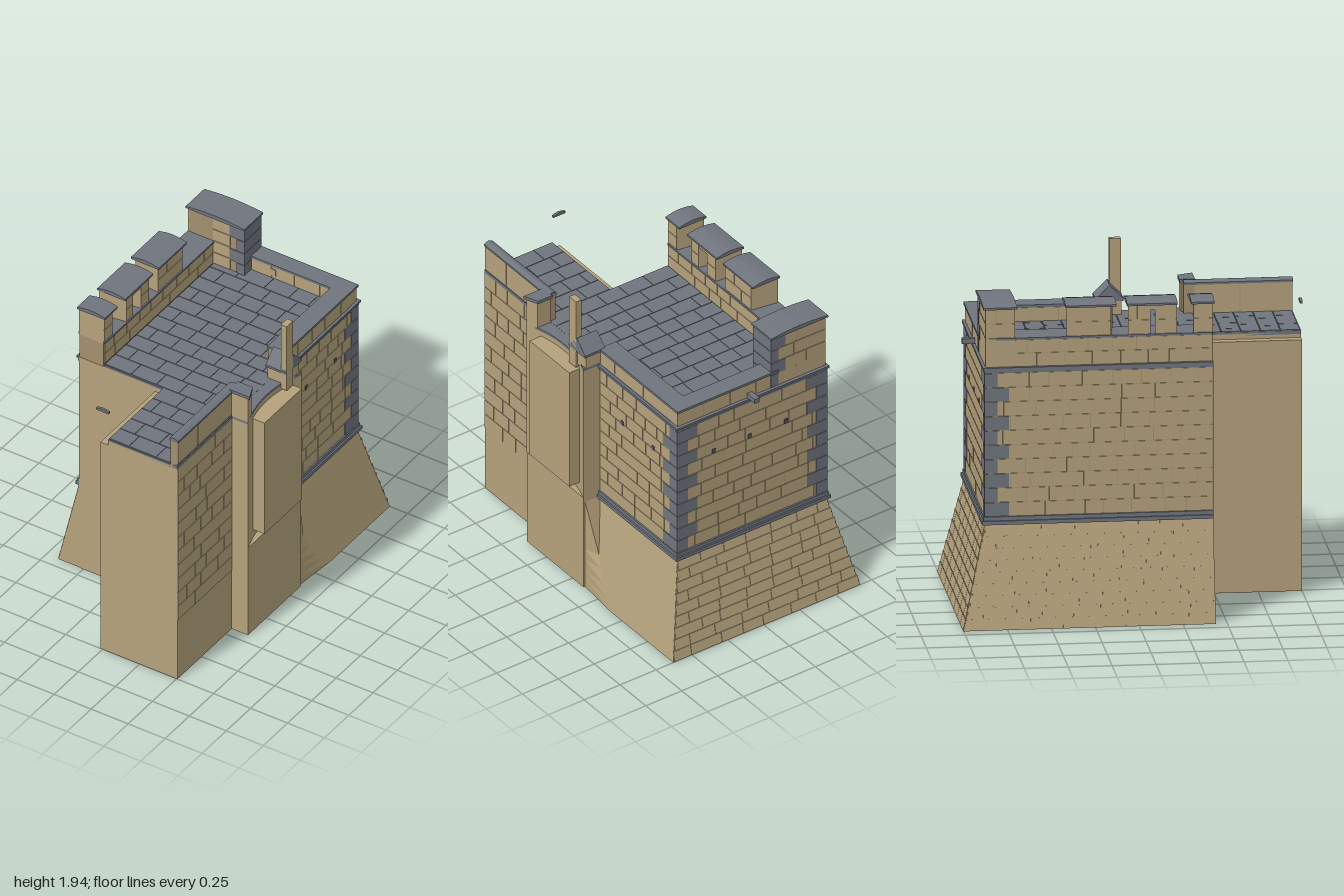
import * as THREE from 'three';
import { mergeGeometries } from 'three/addons/utils/BufferGeometryUtils.js';

const paint = (color) => new THREE.MeshStandardMaterial({ color, flatShading: true });
const stone = paint(0xb5a27c), joint = paint(0xa39170), slate = paint(0x70757e), dark = paint(0x50555c);
const V = (x, y, z) => new THREE.Vector3(x, y, z);

let seed = 7;
const rand = () => (seed = (seed * 16807) % 2147483647) / 2147483647;

export function createModel() {
  const model = new THREE.Group();
  const add = (name, geo, mat) => {
    const mesh = new THREE.Mesh(geo, mat);
    mesh.name = name;
    model.add(mesh);
    return mesh;
  };
  const boxGeo = (x0, x1, y0, y1, z0, z1) =>
    new THREE.BoxGeometry(x1 - x0, y1 - y0, z1 - z0).translate((x0 + x1) / 2, (y0 + y1) / 2, (z0 + z1) / 2);
  const box = (name, mat, ...b) => add(name, boxGeo(...b), mat);

  // Upright prism from a plan of [x, z] points
  const prism = (name, mat, plan, y0, y1) => {
    const shape = new THREE.Shape(plan.map(([x, z]) => new THREE.Vector2(x, -z)));
    const geo = new THREE.ExtrudeGeometry(shape, { depth: y1 - y0, bevelEnabled: false });
    return add(name, geo.rotateX(-Math.PI / 2).translate(0, y0, 0), mat);
  };

  // Coping with a shallow arched top, running along z
  const coping = (name, x0, x1, z0, z1, y, rise = 0.02) => {
    const m = (x0 + x1) / 2, q = (x1 - x0) / 4;
    const pts = [[x0, y], [x1, y], [x1, y + 0.012], [m + q, y + rise * 0.85], [m, y + rise], [m - q, y + rise * 0.85], [x0, y + 0.012]];
    const shape = new THREE.Shape(pts.map((p) => new THREE.Vector2(...p)));
    add(name, new THREE.ExtrudeGeometry(shape, { depth: z1 - z0, bevelEnabled: false }).translate(0, 0, z0), slate);
  };

  // Courses of slightly raised blocks on a plane; a and b give the row ends at bottom and top
  const courses = (name, mat, origin, u, v, a, b, h, rows, len = 0.15) => {
    const blocks = [], rh = h / rows, gap = 0.004;
    for (let r = 0; r < rows; r++) {
      const t = (r + 0.5) / rows;
      const end = THREE.MathUtils.lerp(a[1], b[1], t);
      let s = THREE.MathUtils.lerp(a[0], b[0], t);
      let first = r % 2 ? 0.55 : 1;
      while (s < end - 0.01) {
        let e = s + len * first * (0.7 + 0.6 * rand());
        first = 1;
        if (e > end - len * 0.4) e = end;
        blocks.push(new THREE.BoxGeometry(e - s - gap, rh - gap, 0.008).translate((s + e) / 2, (r + 0.5) * rh, 0));
        s = e;
      }
    }
    const dir = v.clone().normalize();
    const basis = new THREE.Matrix4().makeBasis(u, dir, u.clone().cross(dir)).setPosition(origin);
    add(name, mergeGeometries(blocks).applyMatrix4(basis), mat);
  };
  const wall = (name, origin, u, w, h, rows, len) =>
    courses(name, stone, origin, u, V(0, 1, 0), [0, w], [0, w], h, rows, len);
  const E = V(1, 0, 0), W = V(-1, 0, 0), S = V(0, 0, 1), N = V(0, 0, -1);

  // Battered base, lofted from horizontal sections, with a flared end on the right
  const rings = [[0, -0.39], [0.06, -0.345], [0.12, -0.295], [0.19, -0.24], [0.26, -0.2], [0.59, -0.11]].map(([y, ze]) => {
    const t = y / 0.59, l = -0.67 + 0.14 * t, k = -1 + 0.14 * t, r = 0.63 - 0.13 * t;
    return [[l, 0.435], [l, k], [r, k], [r, ze], [0.605, -0.11], [0.605, 0.43]].map(([x, z]) => V(x, y, z));
  });
  const tris = [];
  rings[0].forEach((p, i) => {
    const j = (i + 1) % rings[0].length;
    tris.push(V(0, 0, 0), p, rings[0][j]);
    for (let k = 0; k + 1 < rings.length; k++) {
      const lo = rings[k], hi = rings[k + 1];
      tris.push(lo[i], hi[i], hi[j], lo[i], hi[j], lo[j]);
    }
  });
  const batter = new THREE.BufferGeometry().setFromPoints(tris);
  batter.computeVertexNormals();
  add('batteredBase', batter, stone);
  courses('backBaseCourses', stone, V(0.63, 0, -1), W, V(0, 0.59, 0.14), [0, 1.3], [0.13, 1.16], 0.6, 9, 0.17);
  courses('leftBaseCourses', stone, V(-0.67, 0, -1), S, V(0.14, 0.59, 0), [0, 1.43], [0.14, 1.43], 0.6, 9, 0.17);

  // Tower body and front wing
  box('towerBody', joint, -0.53, 0.5, 0.3, 1.5, -0.86, 0.435);
  box('towerFront', stone, -0.53, 0.5, 0, 1.5, 0.4, 0.437);
  box('wing', stone, -0.015, 0.505, 0, 1.47, 0.4, 1);
  box('wingTop', stone, 0.038, 0.505, 1.47, 1.5, 0.4, 1);
  wall('backCourses', V(0.5, 0.63, -0.86), W, 1.03, 0.84, 10);
  wall('leftCourses', V(-0.53, 0.63, -0.86), S, 1.29, 0.84, 10);
  wall('rightCourses', V(0.5, 0.63, -0.11), N, 0.75, 0.84, 10);
  wall('wingCourses', V(0.505, 0.42, 1), N, 0.56, 1.08, 11);

  // Small wall holes
  for (const x of [-0.25, 0, 0.25]) box('wallHole', dark, x - 0.012, x + 0.012, 1.22, 1.25, -0.867, -0.85);
  for (const z of [-0.33, -0.63]) box('wallHole', dark, 0.49, 0.507, 1.21, 1.24, z - 0.012, z + 0.012);

  // Alternating quoins on the two back corners
  for (const side of [-1, 1]) {
    for (let i = 0; i < 10; i++) {
      const long = i % 2 ? 0.14 : 0.075, deep = i % 2 ? 0.075 : 0.14;
      const x = side < 0 ? -0.537 : 0.507;
      box('quoin', slate, Math.min(x, x - side * long), Math.max(x, x - side * long),
        0.632 + i * 0.084, 0.712 + i * 0.084, -0.867, -0.867 + deep);
    }
  }

  // String courses around the left, back and right walls
  for (const [y, h, out] of [[0.585, 0.022, 0.022], [0.607, 0.023, 0.012], [1.47, 0.018, 0.008], [1.488, 0.014, 0.016]]) {
    box('stringBack', slate, -0.53 - out, 0.5 + out, y, y + h, -0.86 - out, -0.83);
    box('stringLeft', slate, -0.53 - out, -0.5, y, y + h, -0.85, 0.435);
    box('stringRight', slate, 0.48, 0.5 + out, y, y + h, -0.85, -0.11);
  }

  // Paved roof
  box('towerRoof', slate, -0.36, 0.5, 1.49, 1.512, -0.8, 0.437);
  box('wingRoof', slate, 0.038, 0.505, 1.49, 1.512, 0.43, 1);
  courses('towerPaving', slate, V(-0.36, 1.512, 0.43), E, N, [0, 0.86], [0, 0.86], 1.19, 11, 0.15);
  courses('wingPaving', slate, V(0.04, 1.512, 0.995), E, N, [0, 0.415], [0, 0.415], 0.56, 5, 0.15);

  // Low back and right parapets
  box('backParapet', joint, -0.2, 0.496, 1.5, 1.597, -0.856, -0.764);
  box('rightParapet', joint, 0.394, 0.496, 1.5, 1.597, -0.8, -0.11);
  wall('backParapetOuter', V(0.498, 1.503, -0.856), W, 1.028, 0.094, 1);
  wall('backParapetInner', V(-0.15, 1.514, -0.764), E, 0.54, 0.083, 1);
  wall('rightParapetOuter', V(0.496, 1.503, -0.11), N, 0.75, 0.094, 1);
  wall('rightParapetInner', V(0.394, 1.514, -0.76), S, 0.65, 0.083, 1);
  box('backCoping', slate, -0.2, 0.505, 1.597, 1.612, -0.868, -0.757);
  box('rightCoping', slate, 0.387, 0.505, 1.597, 1.612, -0.8, -0.105);

  // Left battlement with splayed merlons
  box('leftParapet', joint, -0.526, -0.364, 1.49, 1.66, -0.8, 0.435);
  box('leftSill', slate, -0.535, -0.355, 1.66, 1.672, -0.8, 0.432);
  wall('leftParapetOuter', V(-0.526, 1.505, -0.86), S, 1.29, 0.155, 2);
  wall('leftParapetInner', V(-0.364, 1.515, 0.43), N, 1.12, 0.145, 2);
  const merlon = (o0, o1, i0, i1) => {
    prism('merlon', stone, [[-0.526, o0], [-0.526, o1], [-0.364, i1], [-0.364, i0]], 1.66, 1.842);
    wall('merlonOuter', V(-0.526, 1.674, o0), S, o1 - o0, 0.166, 2, 0.13);
    wall('merlonInner', V(-0.364, 1.674, i1), N, i1 - i0, 0.166, 2, 0.13);
  };
  merlon(0.32, 0.435, 0.345, 0.435);
  merlon(-0.4, -0.145, -0.375, -0.12);
  // Merlon with an arrow slit, built as two cheeks and a lintel
  merlon(-0.05, 0.08, -0.03, 0.055);
  merlon(0.105, 0.23, 0.135, 0.205);
  box('slitLintel', stone, -0.526, -0.364, 1.81, 1.842, 0.03, 0.16);
  for (const [z0, z1] of [[0.31, 0.442], [-0.055, 0.232], [-0.405, -0.115]]) coping('merlonCoping', -0.54, -0.35, z0, z1, 1.84, 0.026);

  // Back left corner turret with grey quoins
  box('turret', joint, -0.526, -0.154, 1.49, 1.842, -0.856, -0.694);
  wall('turretBack', V(-0.15, 1.505, -0.856), W, 0.38, 0.335, 4);
  wall('turretLeft', V(-0.526, 1.505, -0.86), S, 0.17, 0.335, 4);
  wall('turretFront', V(-0.364, 1.515, -0.694), E, 0.12, 0.325, 4);
  for (let i = 0; i < 4; i++) {
    const y = 1.505 + i * 0.084;
    box('turretQuoin', slate, i % 2 ? -0.25 : -0.2, -0.148, y, y + 0.08, -0.862, -0.688);
  }
  coping('turretCoping', -0.54, -0.142, -0.872, -0.68, 1.84, 0.026);

  // Wing parapet and stray end coping
  box('wingParapet', joint, 0.46, 0.503, 1.5, 1.685, 0.38, 1);
  wall('wingParapetOuter', V(0.503, 1.525, 1), N, 0.56, 0.16, 1, 0.25);
  wall('wingParapetInner', V(0.46, 1.515, 0.44), S, 0.56, 0.17, 1, 0.25);
  box('wingBand', slate, 0.48, 0.509, 1.497, 1.518, 0.44, 1.002);
  coping('wingCoping', 0.452, 0.512, 0.38, 1.002, 1.683, 0.024);
  coping('endCoping', -0.045, 0.04, 0.985, 1, 1.69, 0.02);

  // Right buttress: straight foot, concave upper face
  box('buttressFoot', stone, 0.48, 0.615, 0, 0.62, -0.11, 0.44);
  const arc = [];
  for (let i = 0; i <= 14; i++) {
    const t = i / 7 - 1;
    arc.push([0.562 + 0.055 * t * t, 0.165 - 0.275 * t]);
  }
  prism('concaveButtress', stone, [[0.48, 0.44], ...arc, [0.48, -0.11]], 0.62, 1.5);
  prism('buttressTop', slate, [[0.48, 0.44], ...arc, [0.48, -0.11]], 1.5, 1.515);
  box('wallPanel', stone, 0.55, 0.665, 0.68, 1.47, -0.04, 0.345);

  // Piers above the buttress
  prism('frontPier', stone, [[0.5, 0.44], [0.617, 0.44], [0.592, 0.37], [0.5, 0.37]], 1.5, 1.688);
  prism('frontPierCap', slate, [[0.495, 0.448], [0.632, 0.448], [0.595, 0.36], [0.495, 0.36]], 1.686, 1.706);
  box('rearPier', stone, 0.48, 0.6, 1.5, 1.6, -0.11, 0.03);
  const gable = new THREE.Shape([[-0.04, 1.595], [0.12, 1.595], [0.12, 1.61], [0.04, 1.69], [-0.04, 1.61]].map((p) => new THREE.Vector2(...p)));
  add('rearPierCap', new THREE.ExtrudeGeometry(gable, { depth: 0.14, bevelEnabled: false }).rotateY(Math.PI / 2).translate(0.472, 0, 0), slate);
  box('post', stone, 0.572, 0.612, 1.48, 1.935, -0.03, 0.035);

  // Rain spout on the back wall
  box('spout', slate, -0.017, 0.017, 1.505, 1.535, -0.935, -0.84);
  box('spoutBlock', stone, -0.017, 0.017, 1.535, 1.58, -0.78, -0.755);

  return model;
}
